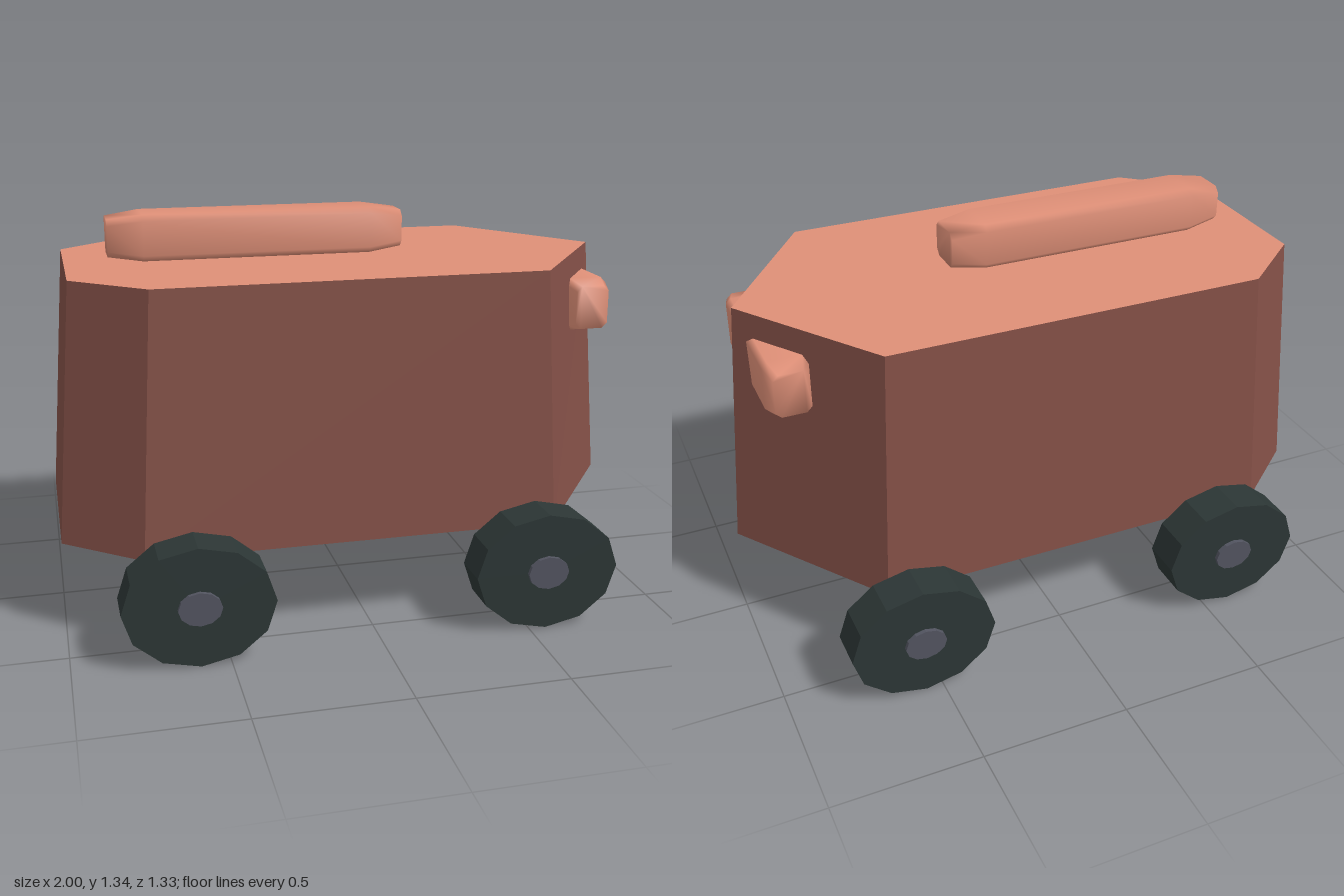
import * as THREE from 'three';

const material = (name, color) => {
  const m = new THREE.MeshStandardMaterial({ color });
  m.name = name;
  return m;
};

function buildGeometry(positions, indices, flat) {
  let g = new THREE.BufferGeometry();
  g.setAttribute('position', new THREE.Float32BufferAttribute(positions, 3));
  g.setIndex(indices);
  if (flat) g = g.toNonIndexed();
  g.computeVertexNormals();
  return g;
}

// Soft bar along x: chamfered sections [x, halfHeight, halfDepth], closed at both ends
function barGeometry(sections, c) {
  const pos = [], idx = [], n = 8;
  for (const [x, h, d] of sections) {
    const ring = [[h, -d + c], [h, d - c], [h - c, d], [-h + c, d],
      [-h, d - c], [-h, -d + c], [-h + c, -d], [h - c, -d]];
    for (const [y, z] of ring) pos.push(x, y, z);
  }
  const last = (sections.length - 1) * n;
  for (let i = 0; i < n; i++) {
    const j = (i + 1) % n;
    for (let k = 0; k < last; k += n) {
      idx.push(k + i, k + j, k + n + j, k + i, k + n + j, k + n + i);
    }
    if (i > 0 && i < n - 1) idx.push(0, j, i, last, last + i, last + j);
  }
  return buildGeometry(pos, idx, false);
}

// Faceted oval disc facing z
function ovalDisc(rx, ry, depth, sides) {
  const g = new THREE.CylinderGeometry(1, 1, depth, sides).rotateX(Math.PI / 2).scale(rx, ry, 1).toNonIndexed();
  g.computeVertexNormals();
  return g;
}

export function createModel() {
  const group = new THREE.Group();
  const salmon = material('salmon', 0xde8f77);
  const brown = material('brown', 0x845047);
  const tyre = material('dark tyre', 0x2c3635);
  const hubGrey = material('hub grey', 0x525460);
  const add = (name, geometry, mat, x = 0, y = 0, z = 0) => {
    const mesh = new THREE.Mesh(geometry, mat);
    mesh.name = name;
    mesh.position.set(x, y, z);
    group.add(mesh);
    return mesh;
  };

  // Tapered hull with a pointed nose: outlines as [x, z]
  const low = [[1, 0], [0.63, -0.517], [-0.75, -0.517], [-1, -0.31], [-1, 0.31], [-0.75, 0.517], [0.63, 0.517]];
  const high = [[0.928, 0], [0.588, -0.485], [-0.7, -0.485], [-0.933, -0.29], [-0.933, 0.29], [-0.7, 0.485], [0.588, 0.485]];
  const n = low.length;
  const pos = [], walls = [], floor = [], roof = [];
  for (const [x, z] of low) pos.push(x, 0.318, z);
  for (const [x, z] of high) pos.push(x, 1.18, z);
  for (let i = 0; i < n; i++) {
    const j = (i + 1) % n;
    walls.push(i, j, n + j, i, n + j, n + i);
    if (i > 0 && i < n - 1) {
      floor.push(0, j, i);
      roof.push(n, n + i, n + j);
    }
  }
  add('bodyWalls', buildGeometry(pos, walls, true), brown);
  add('floor', buildGeometry(pos, floor, true), salmon);
  add('roof', buildGeometry(pos, roof, true), salmon);

  // Long bar above the roof
  add('roofBar', barGeometry([[-0.5, 0.062, 0.07], [-0.385, 0.077, 0.09],
    [0.385, 0.077, 0.09], [0.5, 0.062, 0.07]], 0.02), salmon, -0.29, 1.267, 0);

  // Crossbar through the nose, showing as a lamp on each side
  const lamps = add('noseLamps', barGeometry([[-0.3, 0.074, 0.058], [-0.23, 0.091, 0.075],
    [0.23, 0.091, 0.075], [0.3, 0.074, 0.058]], 0.018), salmon, 0.828, 1.006, 0);
  lamps.rotation.y = Math.PI / 2;

  // Four oval wheels with hubs
  const wheelGeometry = ovalDisc(0.245, 0.2, 0.137, 12);
  const hubGeometry = ovalDisc(0.07, 0.056, 0.02, 12);
  for (const [end, x] of [['back', -0.597], ['front', 0.557]]) {
    for (const [side, s] of [['Left', 1], ['Right', -1]]) {
      add(end + side + 'Wheel', wheelGeometry, tyre, x, 0.202, s * 0.585);
      add(end + side + 'Hub', hubGeometry, hubGrey, x, 0.203, s * 0.657);
    }
  }
  return group;
}
